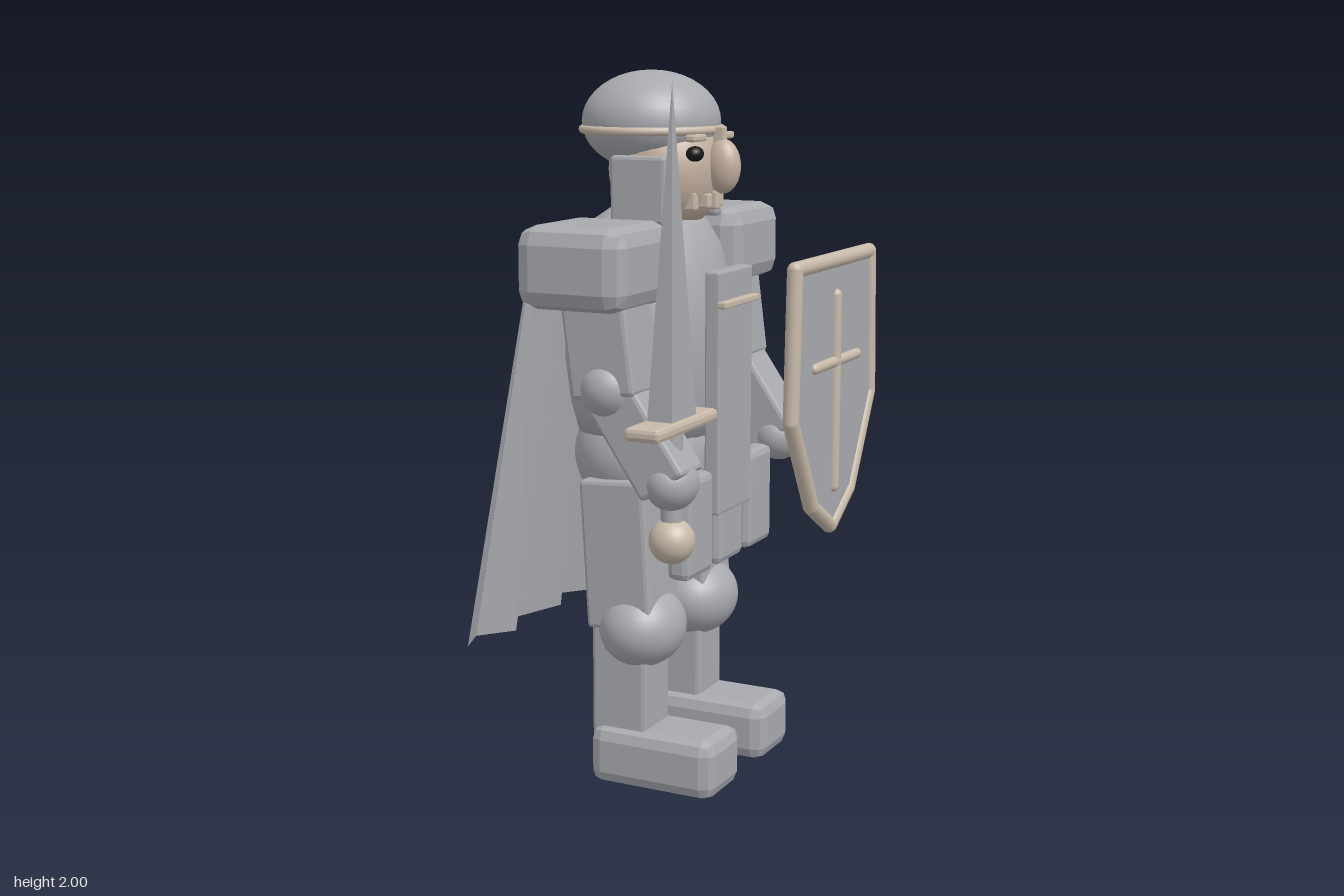
import * as THREE from 'three';
import { RoundedBoxGeometry } from 'three/addons/geometries/RoundedBoxGeometry.js';

// The figure faces +x; its own mid-plane lies at z = MID.
const MID = 0.092;

export function createModel() {
  const steel = new THREE.MeshStandardMaterial({ color: 0xa8aaae, side: THREE.DoubleSide });
  const trim = new THREE.MeshStandardMaterial({ color: 0xc8baa9 });
  const skin = new THREE.MeshStandardMaterial({ color: 0xc3b09f });
  const black = new THREE.MeshStandardMaterial({ color: 0x18181a });
  const root = new THREE.Group();

  const add = (name, geo, mat, x, y, z) => {
    const m = new THREE.Mesh(geo, mat);
    m.name = name;
    m.position.set(x, y, z);
    root.add(m);
    return m;
  };
  const ball = (name, mat, x, y, z, rx, ry = rx, rz = rx) =>
    add(name, new THREE.SphereGeometry(1, 32, 20).scale(rx, ry, rz), mat, x, y, z);
  // Box with faceted, bevelled edges
  const block = (name, mat, x, y, z, w, h, d, r = 0.012) => {
    const geo = new RoundedBoxGeometry(w, h, d, 1, r);
    geo.computeVertexNormals();
    return add(name, geo, mat, x, y, z);
  };
  // Block running between two points in the xy plane
  const limb = (name, a, b, z, w, d) => {
    const dx = b[0] - a[0], dy = b[1] - a[1];
    const m = block(name, steel, (a[0] + b[0]) / 2, (a[1] + b[1]) / 2, z, w, Math.hypot(dx, dy), d);
    m.rotation.z = Math.atan2(dx, -dy);
    return m;
  };
  // Round rod between two points
  const rod = (name, mat, a, b, r) => {
    const p = new THREE.Vector3(...a), q = new THREE.Vector3(...b);
    const dir = q.clone().sub(p);
    const mid = p.clone().add(q).multiplyScalar(0.5);
    const m = add(name, new THREE.CapsuleGeometry(r, dir.length(), 6, 12), mat, mid.x, mid.y, mid.z);
    m.quaternion.setFromUnitVectors(new THREE.Vector3(0, 1, 0), dir.normalize());
  };

  // Torso and pelvis
  const profile = [[0, 0.96], [0.83, 0.98], [0.94, 1.08], [1, 1.2], [0.99, 1.32], [0.93, 1.43],
    [0.82, 1.52], [0.65, 1.59], [0.4, 1.63], [0, 1.645]].map(p => new THREE.Vector2(...p));
  add('torso', new THREE.LatheGeometry(profile, 36).scale(0.232, 1, 0.275), steel, 0, 0, MID);
  ball('pelvis', steel, 0, 0.93, MID, 0.205, 0.19, 0.255);
  block('tabard', steel, 0.245, 1.12, MID, 0.045, 0.68, 0.222, 0.006);
  block('tabardBar', trim, 0.273, 1.37, MID, 0.03, 0.02, 0.225, 0.005);
  for (const i of [-1, 0, 1])
    block('tasset', steel, 0.225, 0.77, MID + i * 0.2, 0.07, 0.285, 0.166, 0.02);

  // Head and face
  ball('head', skin, 0.05, 1.73, MID, 0.16, 0.18, 0.165);
  ball('nose', skin, 0.225, 1.74, MID, 0.05, 0.075, 0.042);
  for (const s of [-1, 1]) {
    ball('eye', black, 0.182, 1.777, MID + s * 0.09, 0.024, 0.021, 0.028);
    block('brow', trim, 0.185, 1.82, MID + s * 0.09, 0.03, 0.02, 0.08, 0.006);
    block('earGuard', steel, 0.053, 1.68, MID + s * 0.168, 0.168, 0.185, 0.035, 0.01);
  }
  for (let i = -2; i <= 2; i++)
    block('tooth', trim, 0.195 - 0.008 * i * i, 1.647, MID + i * 0.037, 0.035, i % 2 ? 0.04 : 0.05, 0.028, 0.005);

  // Helmet
  ball('helmet', steel, 0.004, 1.86, MID, 0.193, 0.14, 0.2);
  const band = add('helmetBand', new THREE.TorusGeometry(0.197, 0.012, 10, 48), trim, 0.006, 1.838, MID);
  band.rotation.x = Math.PI / 2;
  band.scale.set(0.97, 1.02, 1);
  block('noseGuard', trim, 0.215, 1.82, MID, 0.035, 0.06, 0.024, 0.006);

  // Arms and legs, mirrored about the mid-plane
  for (const s of [-1, 1]) {
    const za = MID + s * 0.36, zl = MID + s * 0.175;
    block('shoulderPlate', steel, 0.018, 1.495, za - s * 0.003, 0.32, 0.222, 0.336, 0.05);
    limb('upperArm', [0.035, 1.5], [0.08, 1.15], za, 0.19, 0.16);
    ball('elbow', steel, 0.075, 1.17, za, 0.09, 0.09, 0.108);
    limb('forearm', [0.085, 1.16], [0.25, 0.92], za, 0.15, 0.14);
    ball('hand', steel, 0.247, 0.925, za, 0.072, 0.075, 0.084);

    limb('thigh', [0.01, 0.885], [0.035, 0.46], zl, 0.2, 0.19);
    ball('knee', steel, 0.065, 0.455, zl, 0.12, 0.115, 0.14);
    block('shin', steel, 0.025, 0.31, zl, 0.17, 0.4, 0.155);
    block('boot', steel, 0.135, 0.085, zl, 0.385, 0.17, 0.216, 0.038);
  }

  // Sword held upright in the right hand
  const zs = 0.45;
  const blade = new THREE.CylinderGeometry(0, Math.SQRT2, 0.89, 4, 1).toNonIndexed();
  blade.rotateY(Math.PI / 4).scale(0.037, 1, 0.073);
  blade.computeVertexNormals();
  add('blade', blade, steel, 0.246, 1.535, zs);
  block('swordGuard', trim, 0.246, 1.083, zs, 0.105, 0.036, 0.36, 0.012);
  add('grip', new THREE.CylinderGeometry(0.03, 0.03, 0.32, 16), steel, 0.246, 0.93, zs);
  ball('pommel', trim, 0.246, 0.765, zs, 0.063);

  // Shield with rim and cross
  const zc = -0.292, xs = 0.402;
  const half = [[0.285, 1.452], [0.303, 1.02], [0.145, 0.745]];
  const outline = [...half, [0, 0.658], ...half.slice().reverse().map(([z, y]) => [-z, y])];
  const shape = new THREE.Shape(outline.map(([z, y]) => new THREE.Vector2(-z, y)));
  const plate = new THREE.ExtrudeGeometry(shape, { depth: 0.02, bevelEnabled: false });
  plate.rotateY(Math.PI / 2);
  add('shieldPlate', plate, steel, xs - 0.008, 0, zc);
  outline.forEach(([z, y], i) => {
    const [z2, y2] = outline[(i + 1) % outline.length];
    rod('shieldRim', trim, [xs, y, zc + z], [xs, y2, zc + z2], 0.0235);
  });
  rod('shieldCross', trim, [0.411, 0.78, zc], [0.411, 1.35, zc], 0.019);
  rod('shieldCross', trim, [0.414, 1.155, zc - 0.165], [0.414, 1.155, zc + 0.165], 0.016);

  // Pleated cape: three waves over eight panels, wider and further back at the hem
  const cape = new THREE.PlaneGeometry(1, 1, 8, 1).toNonIndexed();
  const pos = cape.attributes.position;
  for (let i = 0; i < pos.count; i++) {
    const u = pos.getX(i), t = 0.5 - pos.getY(i);
    const wave = 0.045 * Math.sin((u + 0.5) * Math.PI * 6);
    pos.setXYZ(i, -0.232 - 0.158 * t + wave, 1.525 - 1.14 * t, MID + u * (0.525 + 0.24 * t));
  }
  cape.computeVertexNormals();
  add('cape', cape, steel, 0, 0, 0);

  return root;
}
